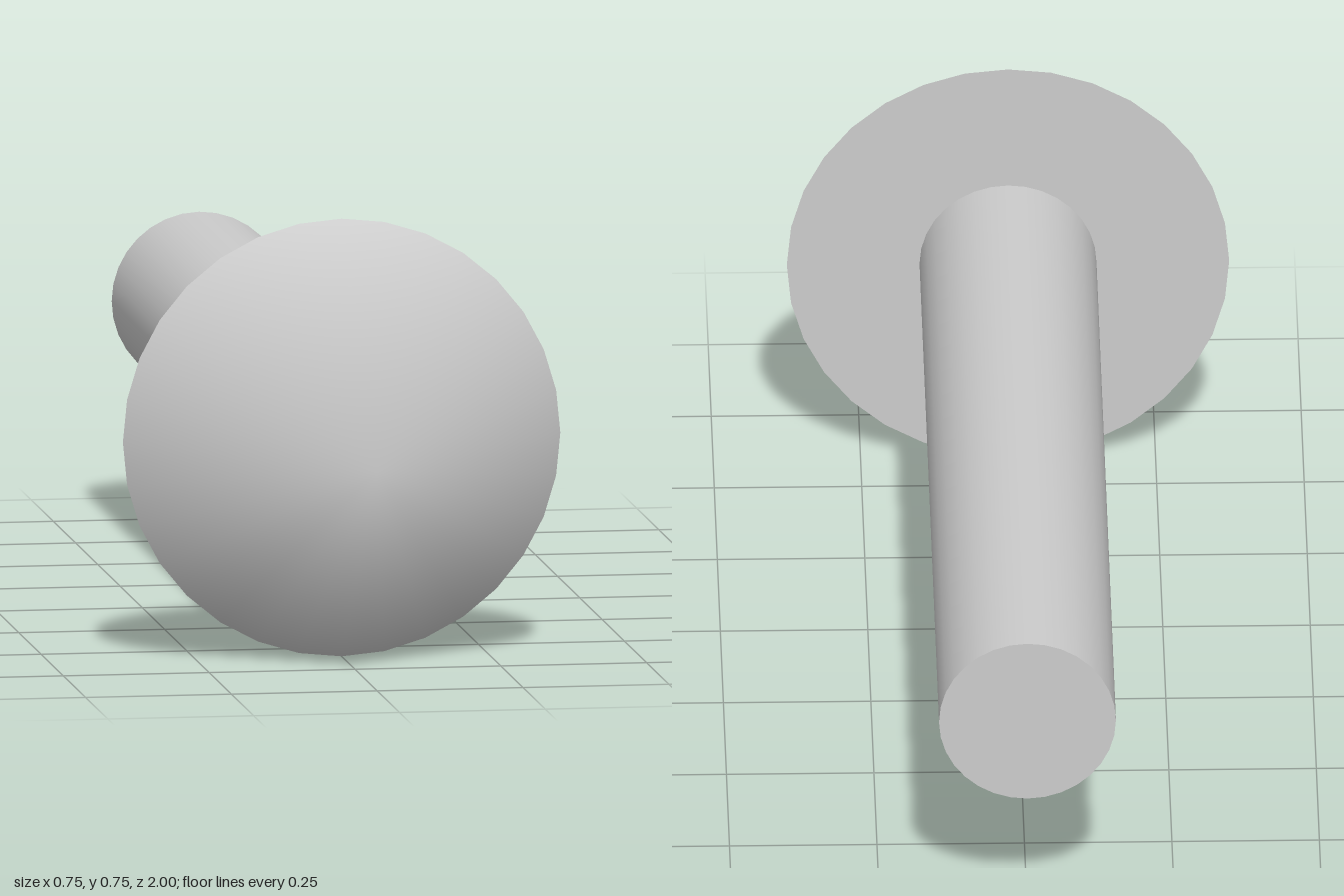
import * as THREE from 'three';
import { mergeVertices } from 'three/addons/utils/BufferGeometryUtils.js';

const SIDES = 32;
const HEAD_RADIUS = 0.375;
const SHAFT_RADIUS = 0.15;
const HEAD_BASE = 0.6; // z where the head meets the shaft

export function createModel() {
  const group = new THREE.Group();
  group.name = 'arrow';
  const material = new THREE.MeshStandardMaterial({ color: 0xcccccc });

  function add(name, geometry, z) {
    const mesh = new THREE.Mesh(geometry, material);
    mesh.name = name;
    mesh.position.set(0, HEAD_RADIUS, z);
    group.add(mesh);
  }

  // Shaft: a capped cylinder lying along z
  const shaftLength = HEAD_BASE + 1;
  add('shaft',
    new THREE.CylinderGeometry(SHAFT_RADIUS, SHAFT_RADIUS, shaftLength, SIDES).rotateX(Math.PI / 2),
    HEAD_BASE - shaftLength / 2);

  // Head: a cone with one shared tip vertex, so the shading rounds over the point
  const headLength = 1 - HEAD_BASE;
  let cone = new THREE.ConeGeometry(HEAD_RADIUS, headLength, SIDES, 1, true).rotateX(Math.PI / 2);
  cone.deleteAttribute('normal');
  cone.deleteAttribute('uv');
  cone = mergeVertices(cone);
  cone.computeVertexNormals();
  add('head', cone, HEAD_BASE + headLength / 2);

  // Flat back of the head, facing -z
  add('headBack', new THREE.CircleGeometry(HEAD_RADIUS, SIDES, Math.PI / 2).rotateY(Math.PI), HEAD_BASE);

  return group;
}
